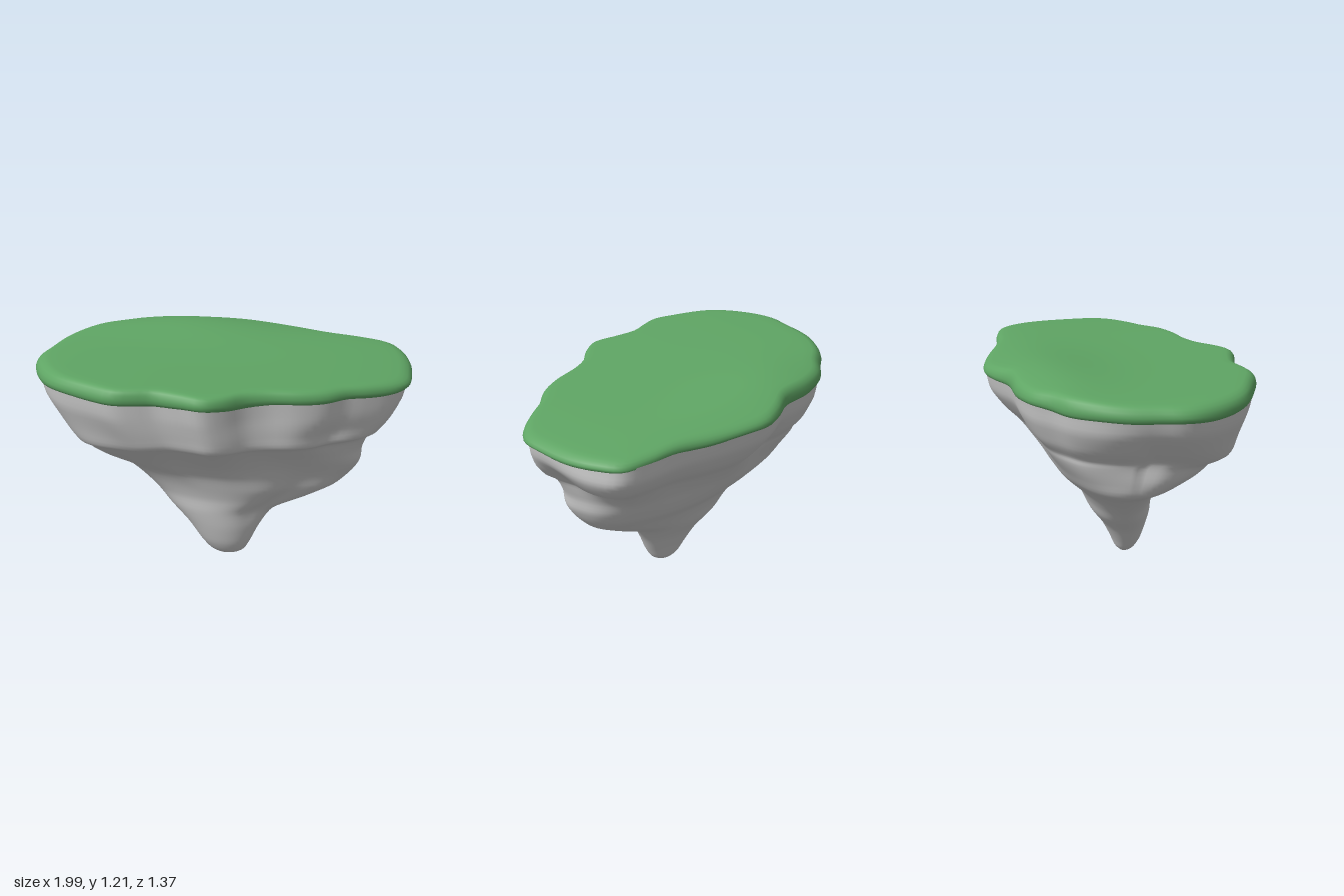
import * as THREE from 'three';

const N = 144;

// Plan outline of the island as (x, z) pairs, running +x, +z, -x, -z
const OUTLINE = [
  [0.99, -0.1], [0.985, 0.05], [0.93, 0.14], [0.8, 0.24], [0.7, 0.3], [0.6, 0.39], [0.48, 0.445],
  [0.3, 0.49], [0.2, 0.54], [0.1, 0.63], [0, 0.68], [-0.13, 0.655], [-0.27, 0.635], [-0.36, 0.66],
  [-0.47, 0.68], [-0.6, 0.64], [-0.8, 0.55], [-0.9, 0.45], [-0.98, 0.3], [-1, 0.2], [-0.98, 0.08],
  [-0.95, -0.08], [-0.9, -0.2], [-0.8, -0.34], [-0.7, -0.42], [-0.6, -0.51], [-0.45, -0.565],
  [-0.25, -0.59], [-0.13, -0.65], [0, -0.69], [0.15, -0.675], [0.3, -0.64], [0.5, -0.58],
  [0.7, -0.56], [0.85, -0.52], [0.92, -0.42], [0.97, -0.28],
];
const outline = new THREE.CatmullRomCurve3(
  OUTLINE.map(([x, z]) => new THREE.Vector3(x, 0, z)), true).getSpacedPoints(N).slice(0, N);

// Rock envelope per level: y, xMin, xMax, zMin, zMax, roundness of the section
const LEVELS = [
  [1.1, -0.985, 0.975, -0.675, 0.67, 0],
  [1.0, -0.955, 0.96, -0.65, 0.66, 0],
  [0.9, -0.865, 0.915, -0.58, 0.635, 0.08],
  [0.83, -0.79, 0.845, -0.51, 0.605, 0.2],
  [0.79, -0.77, 0.785, -0.475, 0.5, 0.35],
  [0.7, -0.765, 0.74, -0.41, 0.4, 0.55],
  [0.62, -0.735, 0.73, -0.36, 0.325, 0.75],
  [0.54, -0.59, 0.69, -0.3, 0.27, 0.9],
  [0.46, -0.48, 0.61, -0.22, 0.24, 1],
  [0.38, -0.39, 0.46, -0.17, 0.215, 1],
  [0.3, -0.315, 0.28, -0.13, 0.205, 1],
  [0.2, -0.21, 0.2, -0.06, 0.19, 1],
  [0.1, -0.135, 0.15, -0.01, 0.165, 1],
  [0.04, -0.085, 0.115, 0.015, 0.135, 1],
  [0.01, -0.04, 0.07, 0.04, 0.1, 1],
  [0, 0.01, 0.02, 0.065, 0.07, 1],
];

// Local swellings (+) and hollows (-): angle, angular width, y, height, amount
const SWELLINGS = [
  [0.4, 0.35, 0.62, 0.14, 0.08],
  [0.65, 0.35, 0.87, 0.07, -0.05],
  [2.35, 0.35, 0.7, 0.14, 0.1],
  [0.75, 0.42, 0.45, 0.2, -0.2],
  [-0.2, 0.25, 0.88, 0.09, -0.05],
  [-0.75, 0.4, 0.92, 0.16, 0.06],
  [-2.5, 0.5, 0.82, 0.14, 0.1],
];

const bell = (d, width) => Math.exp(-(d * d) / (width * width));
const lerp = THREE.MathUtils.lerp;

// Skin closed rings of N points with shared vertices, so the shading is smooth all round
function loft(rows, pointAt) {
  const positions = [], index = [];
  for (let j = 0; j < rows; j++) {
    for (let i = 0; i < N; i++) {
      positions.push(...pointAt(j, i));
      if (j === rows - 1) continue;
      const a = j * N + i, b = j * N + (i + 1) % N;
      index.push(a, b, a + N, b, b + N, a + N);
    }
  }
  const geometry = new THREE.BufferGeometry();
  geometry.setAttribute('position', new THREE.Float32BufferAttribute(positions, 3));
  geometry.setIndex(index);
  geometry.computeVertexNormals();
  return geometry;
}

// Tapering rock: sections morph from the plan outline to an oval with swellings
function rockGeometry() {
  const curve = (f) => new THREE.CatmullRomCurve3(LEVELS.map(f), false, 'catmullrom', 0.4);
  const widths = curve((l) => new THREE.Vector3(l[1], l[2], l[0]));
  const depths = curve((l) => new THREE.Vector3(l[3], l[4], l[5]));
  const rows = (LEVELS.length - 1) * 4 + 1;
  return loft(rows, (j, i) => {
    const w = widths.getPoint(j / (rows - 1)), d = depths.getPoint(j / (rows - 1));
    const y = w.z;
    let u = outline[i].x, v = outline[i].z / 0.685;
    const angle = Math.atan2(v, u);
    // Swellings plus gentle lumps that fade out at the rim and the tip
    let scale = 1 + 0.006 * bell(y - 0.75, 0.28)
      * (Math.sin(angle * 5 + y * 9) + Math.sin(angle * 8 - y * 14));
    for (const [at, spread, level, height, amount] of SWELLINGS) {
      scale += amount * bell(angle - at, spread) * bell(y - level, height);
    }
    u = lerp(u, Math.cos(angle), d.z) * scale;
    v = lerp(v, Math.sin(angle), d.z) * scale;
    // The front ledge droops towards both sides; the top follows the slope of the grass
    const droop = 0.06 * Math.min(1, u * u) * Math.max(0, v) * bell(y - 0.82, 0.12);
    const slope = 0.025 * u * bell(y - 1.1, 0.15);
    return [lerp(w.x, w.y, (u + 1) / 2), y - droop - slope, lerp(d.x, d.y, (v + 1) / 2)];
  });
}

// Grass slab: gently sloping top with a low rise, rolled rim and recessed underside
function grassGeometry() {
  const profile = [];
  for (let k = 0; k <= 16; k++) profile.push([0.93 * k / 16, 1]);
  profile.push([0.955, 0.95], [0.977, 0.84], [0.992, 0.66], [1, 0.42], [0.998, 0.22],
    [0.99, 0.08], [0.975, 0], [0.94, 0.08], [0.86, 0.2]);
  return loft(profile.length, (j, i) => {
    const [scale, h] = profile[j];
    const x = outline[i].x * scale, z = outline[i].z * scale;
    const top = 1.165 - 0.036 * x - 0.022 * x ** 4 - 0.035 * bell(z + 0.75, 0.2)
      + 0.035 * bell(x + 0.3, 0.5) * bell(z + 0.4, 0.28)
      - 0.025 * bell(x + 0.65, 0.3) * bell(z + 0.55, 0.2);
    const turn = i * Math.PI * 2 / N;
    const bottom = 1.085 - 0.02 * x - 0.014 * x * x
      + 0.003 * (Math.sin(turn * 13) + Math.sin(turn * 8 + 1));
    return [x, lerp(bottom, top, h), z];
  });
}

export function createModel() {
  const island = new THREE.Group();
  island.name = 'floatingIsland';
  const add = (name, geometry, color) => {
    const mesh = new THREE.Mesh(geometry, new THREE.MeshStandardMaterial({ color }));
    mesh.name = name;
    island.add(mesh);
  };
  add('rock', rockGeometry(), 0xcccccc);
  add('grassTop', grassGeometry(), 0x5fa564);
  return island;
}
